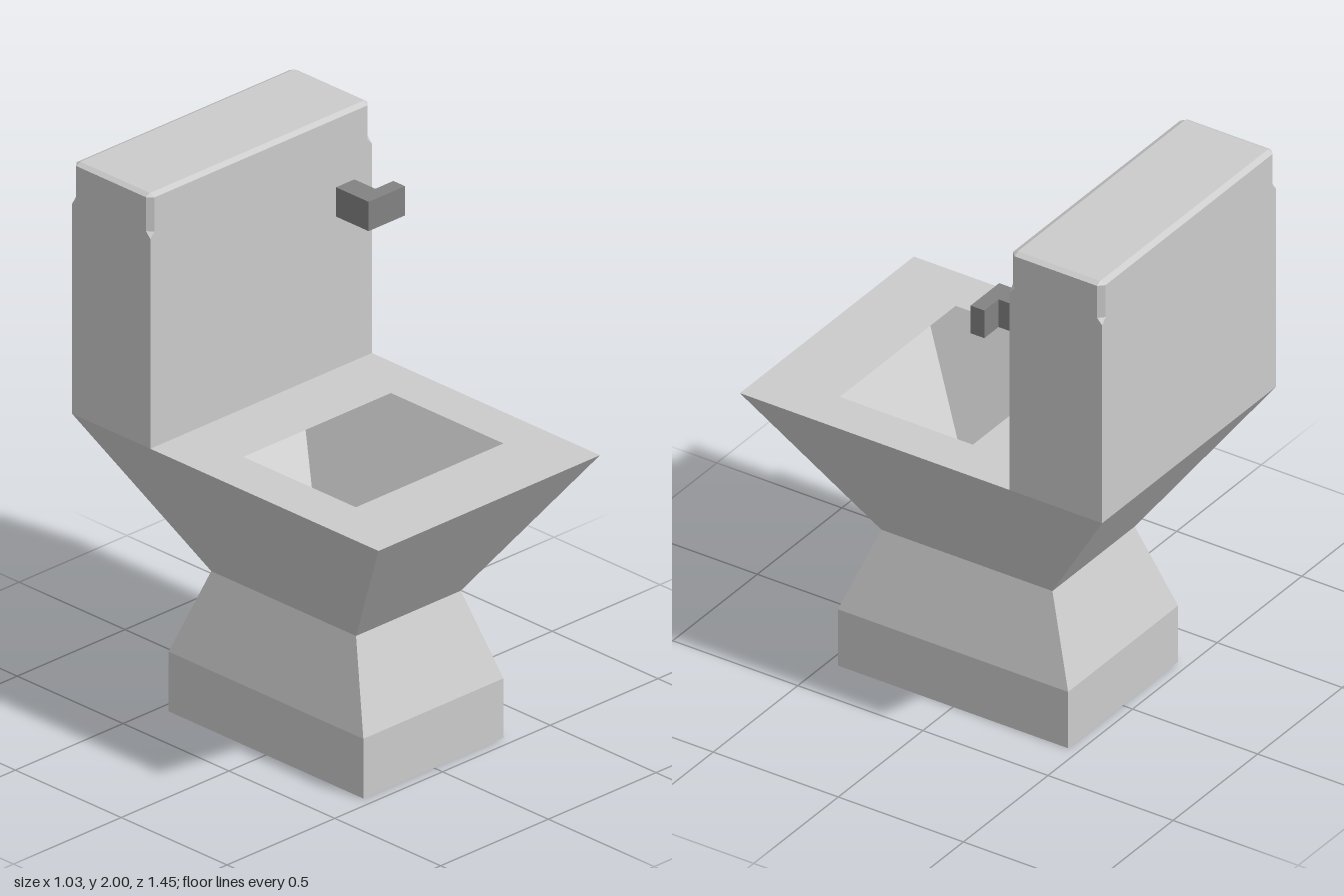
import * as THREE from 'three';

const porcelain = new THREE.MeshStandardMaterial({ color: 0xcccccc, flatShading: true, side: THREE.DoubleSide });
const darkGrey = new THREE.MeshStandardMaterial({ color: 0x828282, flatShading: true });

// Rectangle with cut corners as a ring at height y; cut = 0 leaves sharp corners.
function ring(y, hx, hz, cut = 0, z = 0) {
  const corners = [[1, 1], [1, -1], [-1, -1], [-1, 1]];
  return corners.flatMap(([sx, sz], i) => {
    const a = [sx * (hx - cut), y, z + sz * hz];
    const b = [sx * hx, y, z + sz * (hz - cut)];
    return i % 2 ? [b, a] : [a, b];
  });
}

// Skin a stack of rings (bottom to top), with optional flat caps.
function loft(rings, capBottom, capTop) {
  const pos = [];
  const same = (p, q) => p.every((v, i) => Math.abs(v - q[i]) < 1e-6);
  const tri = (a, b, c) => {
    if (!same(a, b) && !same(b, c) && !same(a, c)) pos.push(...a, ...b, ...c);
  };
  const n = rings[0].length;
  for (let r = 0; r + 1 < rings.length; r++) {
    for (let i = 0; i < n; i++) {
      const j = (i + 1) % n, lo = rings[r], hi = rings[r + 1];
      tri(lo[i], lo[j], hi[j]);
      tri(lo[i], hi[j], hi[i]);
    }
  }
  const last = rings[rings.length - 1];
  for (let i = 1; i + 1 < n; i++) {
    if (capBottom) tri(rings[0][0], rings[0][i + 1], rings[0][i]);
    if (capTop) tri(last[0], last[i], last[i + 1]);
  }
  const g = new THREE.BufferGeometry();
  g.setAttribute('position', new THREE.Float32BufferAttribute(pos, 3));
  g.computeVertexNormals();
  return g;
}

function rect(Type, x0, x1, z0, z1) {
  // shape y becomes -z once laid flat
  return new Type([[x0, -z0], [x1, -z0], [x1, -z1], [x0, -z1]].map(([x, y]) => new THREE.Vector2(x, y)));
}

export function createModel() {
  const model = new THREE.Group();
  model.name = 'toilet';
  const add = (name, geometry, material = porcelain, parent = model) => {
    const mesh = new THREE.Mesh(geometry, material);
    mesh.name = name;
    parent.add(mesh);
    return mesh;
  };
  const body = new THREE.Group();
  body.name = 'body';
  body.position.x = -0.003;
  model.add(body);

  // Pedestal: straight foot, tapering to the neck; its top is the bowl floor
  add('pedestal', loft([ring(0, 0.325, 0.46), ring(0.22, 0.325, 0.46), ring(0.53, 0.243, 0.342)], true, true), porcelain, body);

  // Bowl: thin flared shell
  add('bowl', loft([ring(0.53, 0.243, 0.342), ring(1.07, 0.514, 0.724)], false, false), porcelain, body);

  // Rim: flat plate with a rectangular opening
  const plate = rect(THREE.Shape, -0.514, 0.514, -0.724, 0.724);
  plate.holes.push(rect(THREE.Path, -0.337, 0.348, -0.095, 0.437));
  const rim = add('rim', new THREE.ShapeGeometry(plate).rotateX(-Math.PI / 2), porcelain, body);
  rim.position.y = 1.07;

  // Tank: corners chamfered near the top, with a shallow bevel round the lid
  const tz = -0.539, hx = 0.514, hz = 0.185;
  add('tank', loft([
    ring(1.07, hx, hz, 0, tz),
    ring(1.843, hx, hz, 0, tz),
    ring(1.865, hx, hz, 0.02, tz),
    ring(1.99, hx, hz, 0.02, tz),
    ring(2.0, hx - 0.018, hz - 0.02, 0.002, tz),
  ], false, true), porcelain, body);

  // Flush handle: L-shaped, stem out of the tank and lever to the side
  const outline = [[0.345, -0.36], [0.345, -0.2], [0.514, -0.2], [0.514, -0.255], [0.43, -0.255], [0.43, -0.36]];
  const lever = new THREE.Shape(outline.map(([x, z]) => new THREE.Vector2(x, -z)));
  const handle = add('flushHandle', new THREE.ExtrudeGeometry(lever, { depth: 0.108, bevelEnabled: false }).rotateX(-Math.PI / 2), darkGrey);
  handle.position.y = 1.63;

  return model;
}
